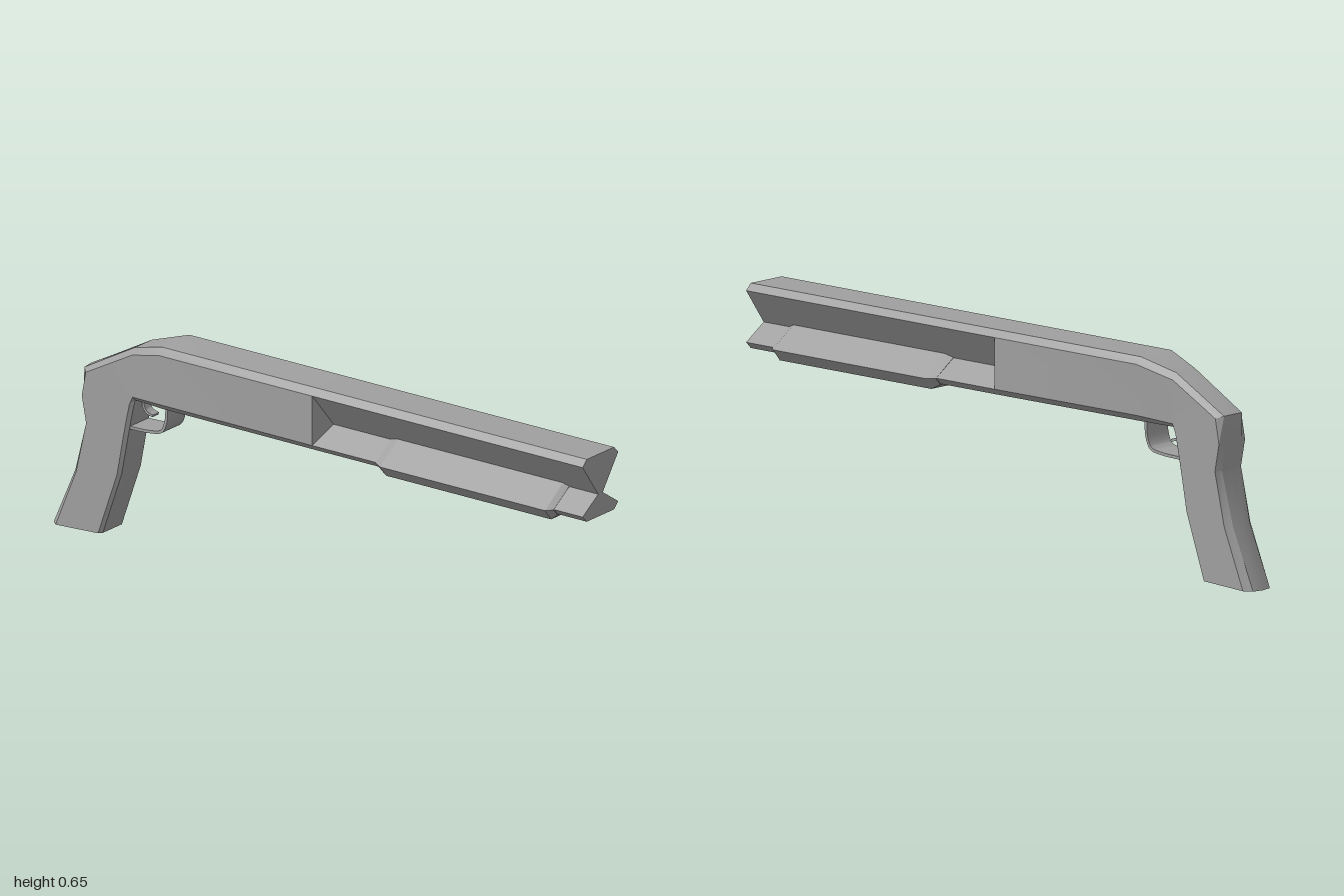
import * as THREE from 'three';
import { toCreasedNormals } from 'three/addons/utils/BufferGeometryUtils.js';

// Closed loft through equal-length convex rings of [x, y, z]
function loft(rings, crease = 0.45) {
  const n = rings[0].length, index = [];
  for (let s = 0; s < rings.length - 1; s++)
    for (let i = 0; i < n; i++) {
      const a = s * n + i, b = s * n + (i + 1) % n;
      index.push(a, a + n, b, b, a + n, b + n);
    }
  const e = (rings.length - 1) * n;
  for (let i = 1; i < n - 1; i++) index.push(0, i, i + 1, e, e + i + 1, e + i);
  const g = new THREE.BufferGeometry();
  g.setAttribute('position', new THREE.Float32BufferAttribute(rings.flat(2), 3));
  g.setIndex(index);
  return toCreasedNormals(g, crease);
}

// Right half of a ring, bottom to top, completed by its mirror image
const mirrored = (half) => [
  ...half,
  ...[...half].reverse().filter((p) => p[0] > 0).map(([x, y, z]) => [-x, y, z]),
];

// Extrude a [z, y] outline across x
function sideExtrude(points, width) {
  const shape = new THREE.Shape(points.map(([z, y]) => new THREE.Vector2(z, y)));
  const g = new THREE.ExtrudeGeometry(shape, { depth: width, bevelEnabled: false });
  g.translate(0, 0, -width / 2).rotateY(-Math.PI / 2);
  return toCreasedNormals(g, 0.7);
}

// Band of constant thickness along a smooth [z, y] path
function band(path, thickness, width, steps) {
  const curve = new THREE.CatmullRomCurve3(path.map(([z, y]) => new THREE.Vector3(z, y, 0)));
  const outer = [], inner = [];
  for (let i = 0; i <= steps; i++) {
    const p = curve.getPoint(i / steps), t = curve.getTangent(i / steps);
    outer.push([p.x - t.y * thickness / 2, p.y + t.x * thickness / 2]);
    inner.unshift([p.x + t.y * thickness / 2, p.y - t.x * thickness / 2]);
  }
  return sideExtrude([...outer, ...inner], width);
}

export function createModel() {
  const model = new THREE.Group();
  const grey = new THREE.MeshStandardMaterial({ color: 0xa0a0a0 });
  grey.name = 'plain grey';
  const add = (name, geometry) => {
    const mesh = new THREE.Mesh(geometry, grey);
    mesh.name = name;
    model.add(mesh);
  };

  // Receiver and grip: top [z, y], bottom [z, y], half width, top inset,
  // top depth, crown, bottom chamfer
  const stations = [
    [[0, 0.65], [0, 0.455], 0.086, 0.02, 0.02, 0, 0.02],
    [[-0.57, 0.65], [-0.57, 0.457], 0.086, 0.02, 0.02, 0, 0.02],
    [[-0.69, 0.615], [-0.687, 0.452], 0.056, 0.015, 0.02, 0, 0.012],
    [[-0.883, 0.512], [-0.69, 0.435], 0.056, 0.018, 0.024, 0.004, 0.01],
    [[-0.887, 0.43], [-0.7, 0.39], 0.056, 0.02, 0.012, 0.004, 0.01],
    [[-0.873, 0.345], [-0.711, 0.335], 0.056, 0.02, 0.014, 0.004, 0.01],
    [[-0.92, 0.18], [-0.735, 0.21], 0.056, 0.02, 0.024, 0.006, 0.01],
    [[-1, 0], [-0.805, 0.01], 0.056, 0.02, 0.028, 0.006, 0.01],
  ];
  add('receiverAndGrip', loft(stations.map(([top, bot, w, inset, depth, crown, ch]) => {
    const dz = top[0] - bot[0], dy = top[1] - bot[1], len = Math.hypot(dz, dy);
    const at = (x, t) => [x, bot[1] + dy * t / len, bot[0] + dz * t / len];
    return mirrored([
      at(w - ch, 0), at(w, ch), at(w, len - depth), at(w - inset, len - crown), at(0, len),
    ]);
  })));

  // Barrel and magazine: pinched-waist section
  const half = [[0.066, 0.455], [0.086, 0.475], [0.011, 0.525], [0.086, 0.63], [0.066, 0.65]];
  const outline = mirrored(half).map(([x, y]) => new THREE.Vector2(x, y));
  add('barrel', new THREE.ExtrudeGeometry(new THREE.Shape(outline), { depth: 1, bevelEnabled: false }));

  // Sloped faces closing the side grooves at the receiver
  const slope = new THREE.BufferGeometry();
  slope.setAttribute('position', new THREE.Float32BufferAttribute([
    0.086, 0.63, 0, 0.011, 0.525, 0.022, 0.086, 0.475, 0,
    -0.086, 0.63, 0, -0.086, 0.475, 0, -0.011, 0.525, 0.022,
  ], 3));
  slope.computeVertexNormals();
  add('grooveEnds', slope);

  // Sliding fore-end with tapered ends
  const small = [[0.067, 0.453], [0.088, 0.474], [0.012, 0.526]];
  const large = [[0.075, 0.437], [0.105, 0.473], [0.018, 0.535]];
  const slide = [[0.893, small], [0.875, large], [0.265, large], [0.235, small]];
  add('slidingForeEnd', loft(slide.map(([z, h]) => mirrored(h.map(([x, y]) => [x, y, z]))), 0.1));

  // Trigger guard and trigger
  add('triggerGuard', band([
    [-0.57, 0.462], [-0.573, 0.41], [-0.59, 0.375], [-0.63, 0.365], [-0.715, 0.361],
  ], 0.009, 0.09, 16));
  add('trigger', band([
    [-0.675, 0.46], [-0.68, 0.43], [-0.668, 0.41], [-0.645, 0.402],
  ], 0.008, 0.03, 8));

  return model;
}
